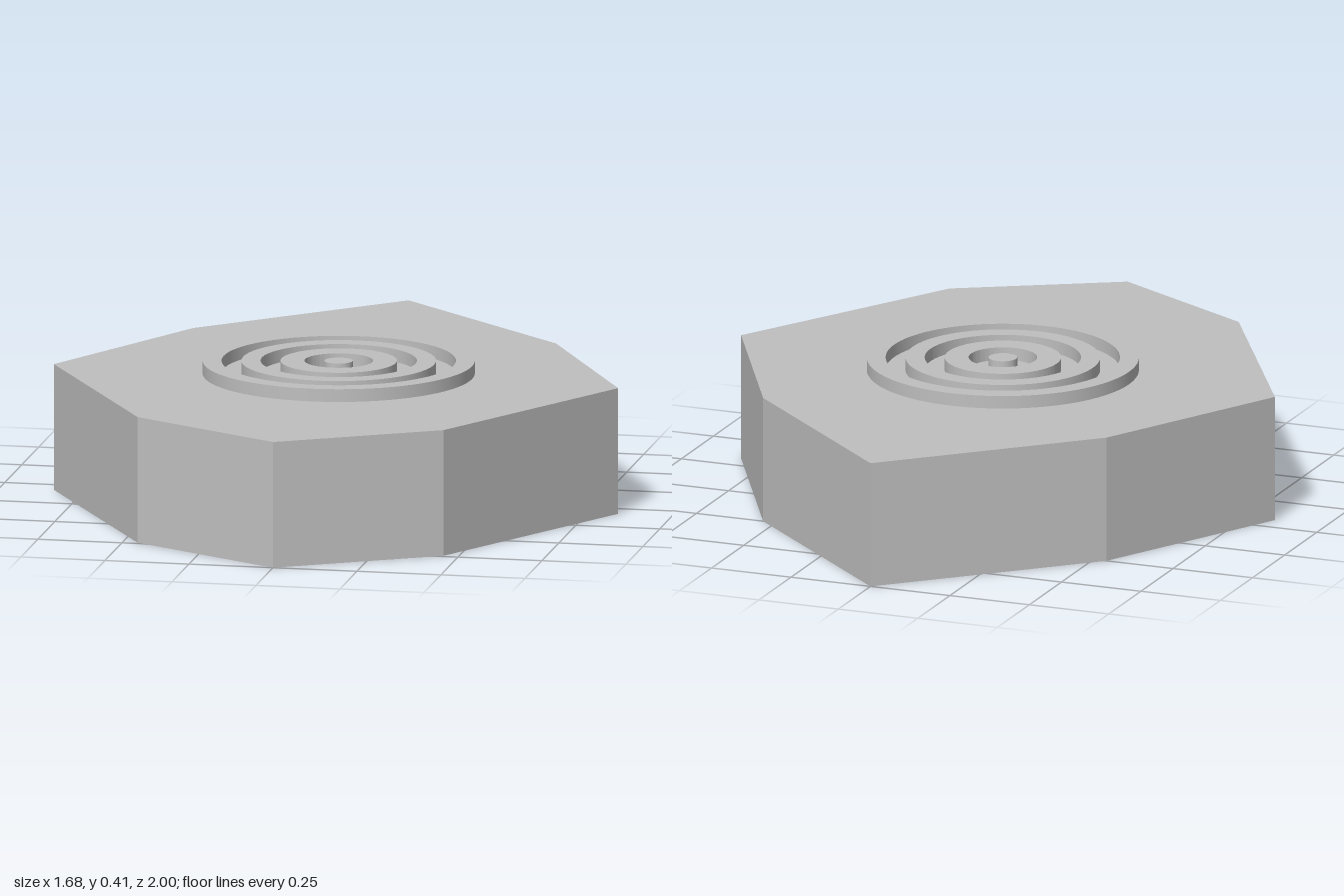
import * as THREE from 'three';
import { toCreasedNormals } from 'three/addons/utils/BufferGeometryUtils.js';

const BODY_HEIGHT = 0.375;
const RING_HEIGHT = 0.038;
const RING_CENTRE_Z = 0.03;

// Extrudes a plan shape (drawn in x, -z) straight up from y = 0.
function extrudeUp(shape, depth) {
  const geometry = new THREE.ExtrudeGeometry(shape, { depth, bevelEnabled: false, curveSegments: 72 });
  geometry.rotateX(-Math.PI / 2);
  return toCreasedNormals(geometry, 0.3);
}

export function createModel() {
  const model = new THREE.Group();
  model.name = 'facetedBlock';

  const grey = new THREE.MeshStandardMaterial({ color: 0xbfbfbf });
  grey.name = 'grey';

  const add = (name, geometry, y, z) => {
    const mesh = new THREE.Mesh(geometry, grey);
    mesh.name = name;
    mesh.position.set(0, y, z);
    model.add(mesh);
  };

  // Eight-sided body: right half of the outline, mirrored to the other side
  const half = [[0, -1], [0.455, -0.74], [0.84, -0.07], [0.54, 0.5], [0, 1]];
  const mirrored = half.slice(1, -1).reverse().map(([x, y]) => [-x, y]);
  const outline = [...half, ...mirrored].map(([x, y]) => new THREE.Vector2(x, y));
  add('body', extrudeUp(new THREE.Shape(outline), BODY_HEIGHT), 0, 0);

  // Concentric raised rings
  const rings = [['outerRing', 0.397, 0.342], ['middleRing', 0.284, 0.228], ['innerRing', 0.17, 0.1]];
  for (const [name, outer, inner] of rings) {
    const shape = new THREE.Shape().absarc(0, 0, outer, 0, Math.PI * 2, false);
    shape.holes.push(new THREE.Path().absarc(0, 0, inner, 0, Math.PI * 2, true));
    add(name, extrudeUp(shape, RING_HEIGHT), BODY_HEIGHT, RING_CENTRE_Z);
  }

  // Small post in the middle
  const post = new THREE.CylinderGeometry(0.042, 0.042, RING_HEIGHT, 48);
  add('centrePost', post, BODY_HEIGHT + RING_HEIGHT / 2, RING_CENTRE_Z);

  return model;
}
